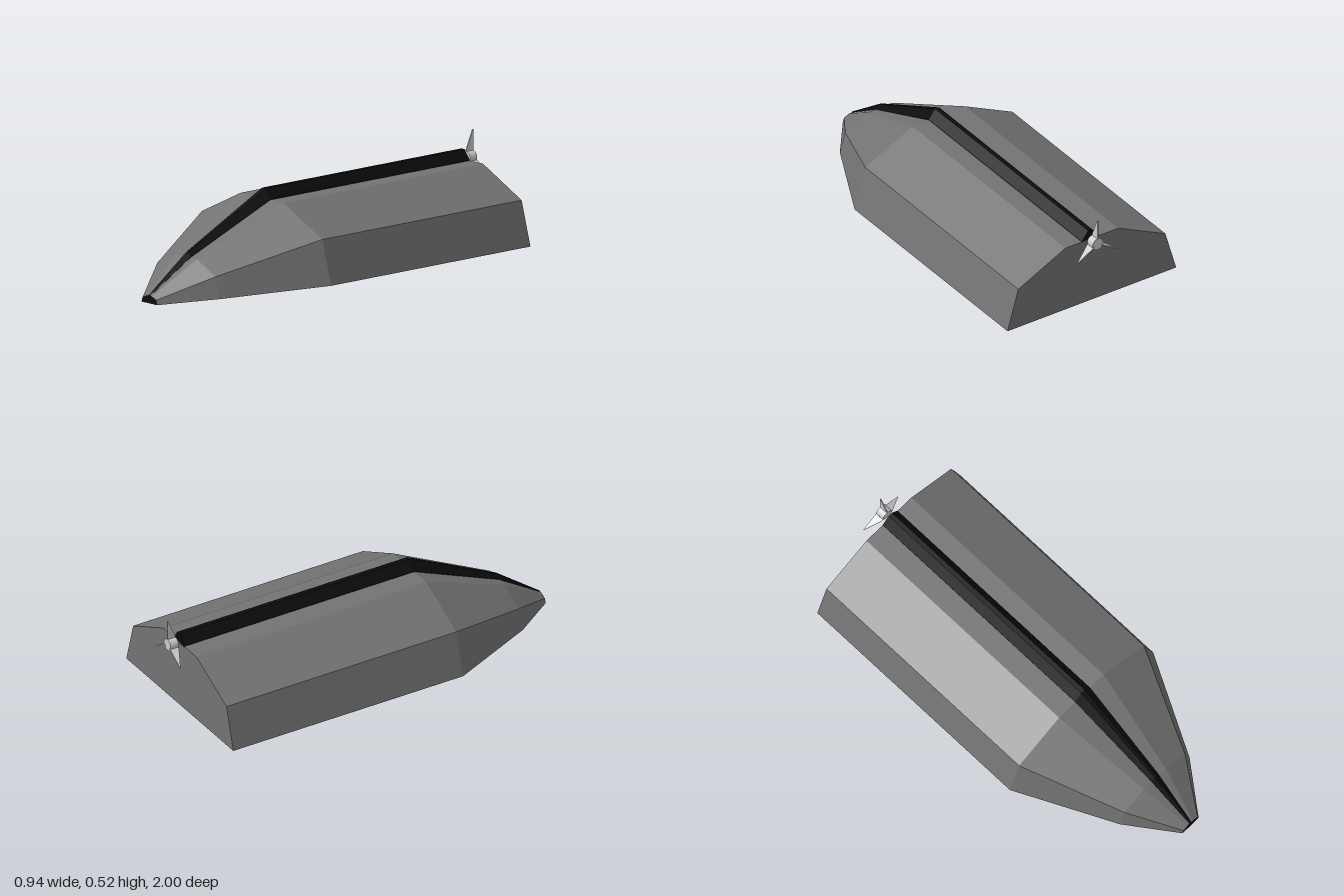
import * as THREE from 'three';

// Joins convex cross-sections (counterclockwise seen from +z, ordered back to front)
function loft(sections, capFront) {
  const pos = [];
  const tri = (a, b, c) => pos.push(...a, ...b, ...c);
  const n = sections[0].length;
  for (let i = 0; i < sections.length - 1; i++) {
    const s = sections[i], t = sections[i + 1];
    for (let j = 0; j < n; j++) {
      const k = (j + 1) % n;
      tri(s[j], s[k], t[k]);
      tri(s[j], t[k], t[j]);
    }
  }
  const back = sections[0], front = sections[sections.length - 1];
  for (let j = 1; j < n - 1; j++) {
    tri(back[0], back[j + 1], back[j]);
    if (capFront) tri(front[0], front[j], front[j + 1]);
  }
  const geo = new THREE.BufferGeometry();
  geo.setAttribute('position', new THREE.Float32BufferAttribute(pos, 3));
  geo.computeVertexNormals();
  return geo;
}

export function createModel() {
  const hullGrey = new THREE.MeshStandardMaterial({ color: 0x737373 });
  hullGrey.name = 'hullGrey';
  const black = new THREE.MeshStandardMaterial({ color: 0x0c0c0c });
  black.name = 'black';
  const lightMetal = new THREE.MeshStandardMaterial({ color: 0xcccccc });
  lightMetal.name = 'lightMetal';

  const model = new THREE.Group();
  const add = (name, geo, mat, parent = model) => {
    const mesh = new THREE.Mesh(geo, mat);
    mesh.name = name;
    parent.add(mesh);
    return mesh;
  };

  // Stations along the length: z and blend from nose section (0) to full section (1)
  const stations = [[-0.937, 1], [0.3, 1], [0.77, 0.42], [1, 0]];
  const blend = (nose, full) => stations.map(([z, t]) =>
    full.map(([x, y], i) => [
      THREE.MathUtils.lerp(nose[i][0], x, t),
      THREE.MathUtils.lerp(nose[i][1], y, t), z]));
  const mirror = (half) => [...half, ...half.map(([x, y]) => [-x, y]).reverse()];

  // Faceted hull
  const hullFull = mirror([[0.47, 0.057], [0.41, 0.265], [0.147, 0.393]]);
  const hullNose = mirror([[0.053, 0.002], [0.046, 0.024], [0.017, 0.037]]);
  add('hull', loft(blend(hullNose, hullFull), false), hullGrey);

  // Dark nose face
  const noseShape = new THREE.Shape(hullNose.map(([x, y]) => new THREE.Vector2(x, y)));
  add('noseFace', new THREE.ShapeGeometry(noseShape).translate(0, 0, 1), black);

  // Spine ridge, slightly sunk into the hull
  const spineFull = [[-0.04, 0.385], [0.056, 0.385], [0.056, 0.395], [0.02, 0.441], [-0.002, 0.441], [-0.04, 0.395]];
  const spineNose = [[-0.006, 0.034], [0.006, 0.034], [0.006, 0.038], [0.002, 0.041], [-0.002, 0.041], [-0.006, 0.038]];
  add('spine', loft(blend(spineNose, spineFull), true), black);

  // Propeller: hub and three tapered blades
  const propeller = new THREE.Group();
  propeller.name = 'propeller';
  propeller.position.set(0.009, 0.396, 0);
  model.add(propeller);
  add('hub', new THREE.CylinderGeometry(0.03, 0.03, 0.043, 16)
    .rotateX(Math.PI / 2).translate(0, 0, -0.9775), lightMetal, propeller);

  const bladeShape = new THREE.Shape([[-1, 0.02], [-0.956, 0.02], [-0.956, 0.035], [-0.997, 0.129], [-1, 0.129]]
    .map(([z, y]) => new THREE.Vector2(z, y)));
  const bladeGeo = new THREE.ExtrudeGeometry(bladeShape, { depth: 0.006, bevelEnabled: false })
    .translate(0, 0, -0.003).rotateY(-Math.PI / 2);
  for (let i = 0; i < 3; i++) {
    add('blade' + (i + 1), bladeGeo, lightMetal, propeller).rotation.z = i * Math.PI * 2 / 3;
  }
  return model;
}
